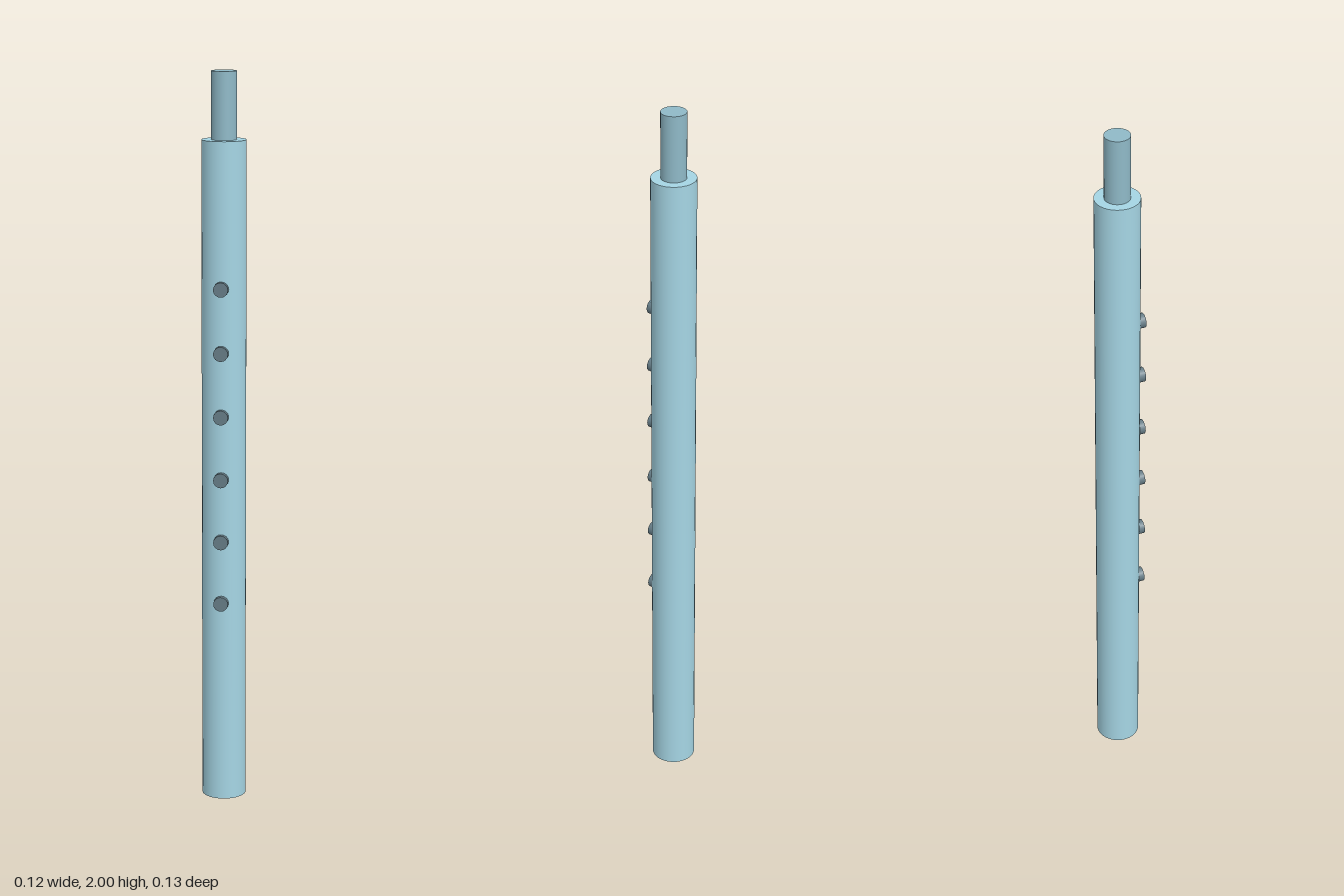
import * as THREE from 'three';

export function createModel() {
  const model = new THREE.Group();
  const axisZ = -0.007; // tube axis sits slightly back to balance the buttons

  const add = (name, radius, length, segments, color, x, y, z) => {
    const mesh = new THREE.Mesh(
      new THREE.CylinderGeometry(radius, radius, length, segments),
      new THREE.MeshStandardMaterial({ color })
    );
    mesh.name = name;
    mesh.position.set(x, y, z);
    model.add(mesh);
    return mesh;
  };

  // Main tube
  add('body', 0.06, 1.82, 32, 0xa5d5e4, 0, 0.91, axisZ);

  // Narrow mouthpiece on top
  add('mouthpiece', 0.034, 0.18, 32, 0x8fb9c7, 0, 1.91, axisZ);

  // Row of six finger buttons along the front
  for (let i = 0; i < 6; i++) {
    const button = add('fingerButton' + (i + 1), 0.02, 0.024, 16, 0x667c86, 0, 0.565 + i * 0.173, 0.055);
    button.rotation.x = Math.PI / 2;
  }

  return model;
}
